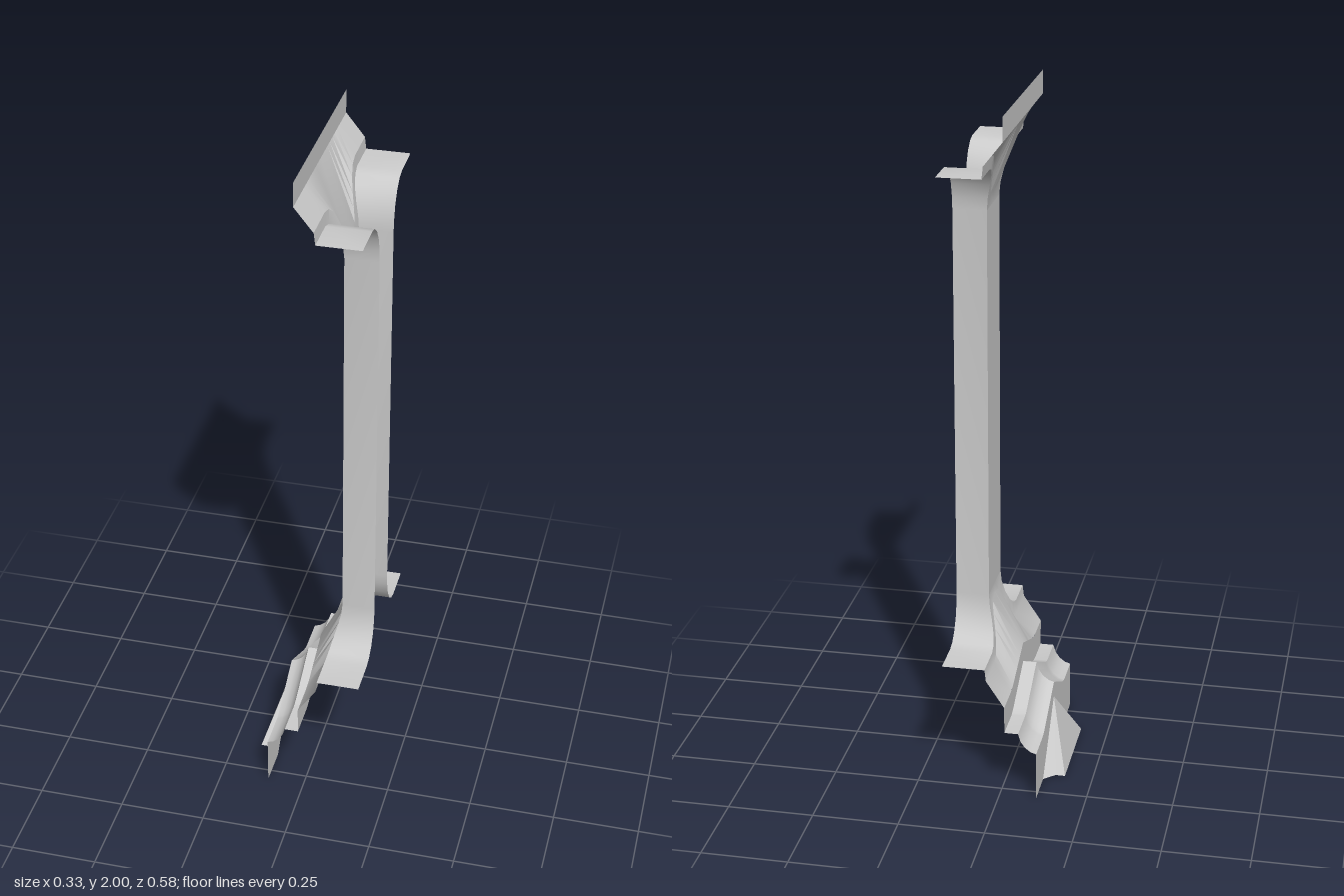
import * as THREE from 'three';
import { toCreasedNormals } from 'three/addons/utils/BufferGeometryUtils.js';

const material = new THREE.MeshStandardMaterial({ color: 0xcccccc, side: THREE.DoubleSide });

// Skin a sheet over rows of [x, y, z] points
function loft(rows) {
  const n = rows[0].length;
  const index = [];
  for (let r = 0; r < rows.length - 1; r++) {
    for (let c = 0; c < n - 1; c++) {
      const a = r * n + c, b = a + n;
      index.push(a, b, a + 1, b, b + 1, a + 1);
    }
  }
  const g = new THREE.BufferGeometry();
  g.setAttribute('position', new THREE.Float32BufferAttribute(rows.flat(2), 3));
  g.setIndex(index);
  return toCreasedNormals(g, 0.5);
}

// Full-width row from a half row running from the outer edge to the centre
const mirrorRow = (half) =>
  [...half, ...half.slice(0, -1).reverse().map(([x, y, z]) => [x, y, -z])];

// Chevron rise: flat at the sides, soft bend, straight slope to the centre
function chevron(z) {
  if (z >= 0.19) return 0;
  if (z >= 0.15) return 0.12 * (0.19 - z) / 0.04 * (0.19 - z) / 0.04 * 0.08;
  return 0.0096 + 0.0754 * (1 - z / 0.15);
}

export function createModel() {
  const group = new THREE.Group();
  const add = (name, geometry) => {
    const mesh = new THREE.Mesh(geometry, material);
    mesh.name = name;
    group.add(mesh);
  };

  // Flared head, half rows from the outer edge to the centre
  const outline = [
    [0.042, 1.83, 0.288], [0.042, 1.83, 0.18], [0.044, 1.822, 0.15], [0.049, 1.80, 0.122],
    [0.058, 1.766, 0.1], [0.067, 1.725, 0.088], [0.07, 1.69, 0.085], [0.07, 1.69, 0],
  ];
  const crease = [
    [0.038, 1.865, 0.288], [0.038, 1.865, 0.17], [0.04, 1.857, 0.135], [0.045, 1.835, 0.105],
    [0.053, 1.80, 0.08], [0.062, 1.76, 0.06], [0.067, 1.73, 0.045], [0.07, 1.72, 0],
  ];
  const rimZ = [0.288, 0.19, 0.16, 0.13, 0.1, 0.075, 0.05, 0];
  const flip = ([x, y, z]) => [x, 2.23 - y, z];
  const topRim = rimZ.map((z) => [-0.015, 1.932, z]);
  const footRim = rimZ.map((z) => [-0.015, 0.285 + 0.78 * chevron(z), z]);
  const footOutline = outline.map(flip);

  add('head', loft([topRim, crease, outline].map(mirrorRow)));
  add('topStrip', loft([topRim.map(([x, , z]) => [x, 2, z]), topRim].map(mirrorRow)));
  add('stem', loft([outline.slice(-2), footOutline.slice(-2)].map(mirrorRow)));
  add('foot', loft([footOutline, crease.map(flip), footRim].map(mirrorRow)));

  // Side walls follow the outline and turn into flanges at both ends
  const edge = [...outline.slice(0, -1), ...footOutline.slice(0, -1).reverse()];
  for (const s of [1, -1]) {
    const inner = edge.map(([x, y, z]) => [x, y, z * s]);
    const outer = inner.map(([, y, z]) => [0.166, y, z]);
    add(s > 0 ? 'leftWall' : 'rightWall', loft([inner, outer]));
  }

  // Chevron mouldings: fascia, ledge and cove
  const columns = [0.288, 0.19, 0.18, 0.17, 0.15, 0];
  const level = (x, y) => columns.map((z) => [x, y + chevron(z), z]);
  add('fascia', loft([
    columns.map((z) => [-0.015, 0.285 + 0.78 * chevron(z), z]),
    level(-0.015, 0.205),
  ].map(mirrorRow)));
  add('ledge', loft([level(-0.015, 0.205), level(-0.055, 0.205)].map(mirrorRow)));
  add('cove', loft([
    level(-0.055, 0.205), level(-0.062, 0.182), level(-0.075, 0.163),
    level(-0.092, 0.15), level(-0.108, 0.145),
  ].map(mirrorRow)));

  // Base panel with a triangular opening
  const baseZ = [0.288, 0.19, 0.175, 0.15, 0];
  add('basePanel', loft([
    baseZ.map((z) => [-0.108, 0.145 + chevron(z), z]),
    baseZ.map((z) => [-0.108, 0.182 * Math.max(0, 1 - z / 0.175), z]),
  ].map(mirrorRow)));

  // Pyramid spur that closes the opening
  const apex = [-0.108, 0.182, 0];
  const rim = mirrorRow([[-0.108, 0, 0.175], [-0.14, 0, 0.145], [-0.168, 0, 0.145], [-0.168, 0, 0]]);
  const spur = new THREE.BufferGeometry();
  const corners = rim.slice(0, -1).flatMap((p, i) => [apex, p, rim[i + 1]]);
  spur.setAttribute('position', new THREE.Float32BufferAttribute(corners.flat(), 3));
  spur.computeVertexNormals();
  add('spur', spur);

  return group;
}
